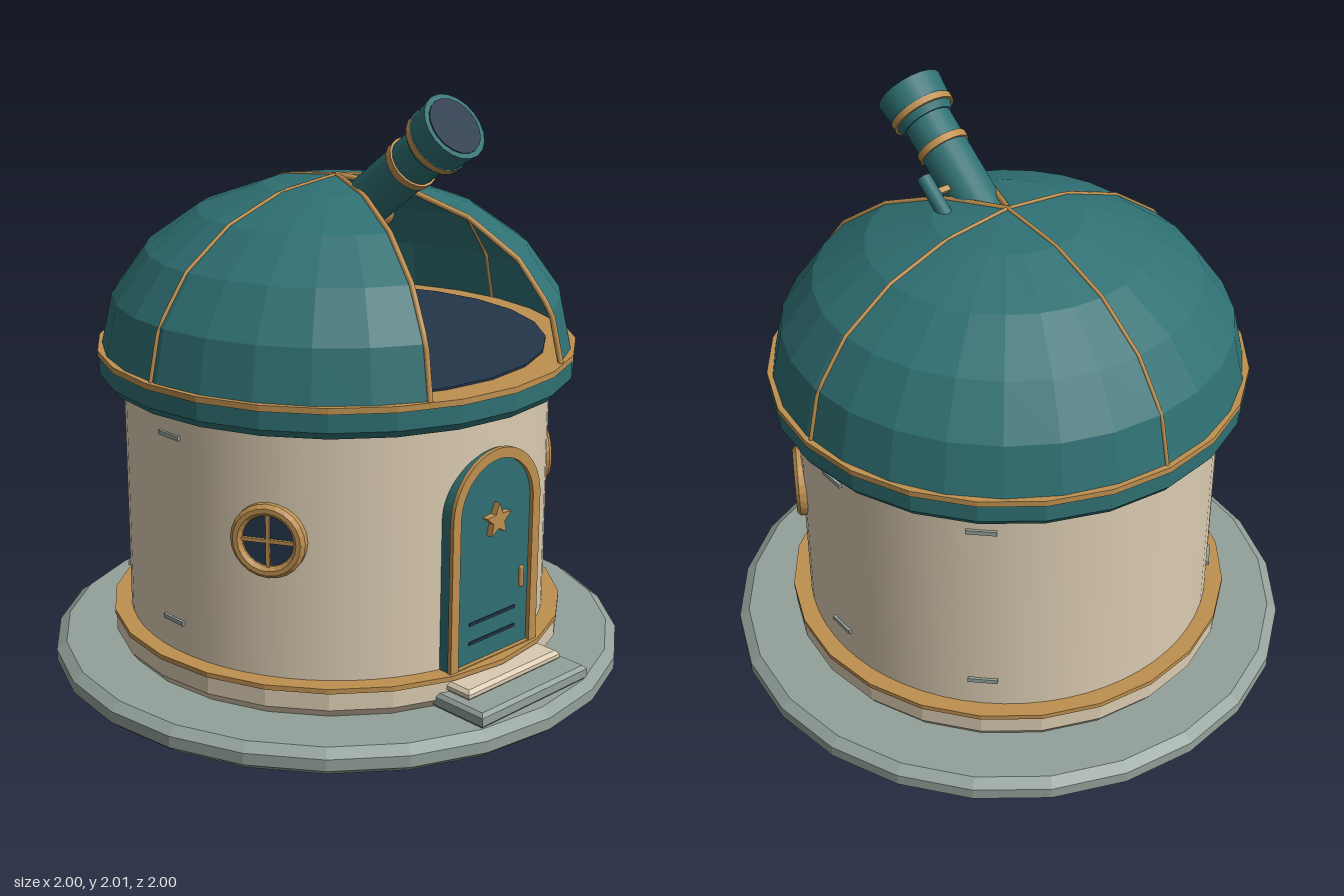
import * as THREE from 'three';

const mat = (name, color, side = THREE.FrontSide) => {
  const m = new THREE.MeshStandardMaterial({ color, side });
  m.name = name;
  return m;
};
const rad = THREE.MathUtils.degToRad;

// faceted look: split every face and recompute its normal
const flat = (g) => {
  const f = g.index ? g.toNonIndexed() : g;
  f.computeVertexNormals();
  return f;
};

export function createModel() {
  const teal = mat('teal', 0x2f7073, THREE.DoubleSide);
  const cream = mat('cream', 0xdbccb2);
  const gold = mat('gold', 0xbe9050);
  const navy = mat('navy', 0x24364a);
  const stone = mat('stone', 0x93a19a);

  const model = new THREE.Group();
  model.name = 'observatory';
  const add = (name, geo, material, pos = [0, 0, 0], parent = model) => {
    const m = new THREE.Mesh(geo, material);
    m.name = name;
    m.position.set(...pos);
    parent.add(m);
    return m;
  };
  const group = (name, parent = model) => {
    const g = new THREE.Group();
    g.name = name;
    parent.add(g);
    return g;
  };
  const lathe = (pts, seg = 24, start = 0, len = Math.PI * 2) =>
    flat(new THREE.LatheGeometry(pts.map((p) => new THREE.Vector2(...p)), seg, start, len));
  const extrude = (shape, depth) =>
    new THREE.ExtrudeGeometry(shape, { depth, bevelEnabled: false, curveSegments: 16 });

  // ground slab, plinth and wall
  add('groundSlab', lathe([[0, 0], [0.97, 0], [1, 0.025], [1, 0.065], [0.965, 0.09], [0, 0.09]]), stone);
  add('plinth', lathe([[0.765, 0.09], [0.787, 0.12], [0.787, 0.18]]), cream);
  add('plinthTrim', lathe([[0.787, 0.178], [0.792, 0.18], [0.792, 0.197], [0.72, 0.197]]), gold);
  add('wall', new THREE.CylinderGeometry(0.73, 0.73, 0.88, 64, 1, true), cream, [0, 0.62, 0]);

  // dome skirt, gold rim and dark floor
  add('domeSkirt', lathe([[0.7, 1.03], [0.795, 1.03], [0.814, 1.055], [0.814, 1.115], [0.79, 1.115]]), teal);
  add('domeRim', lathe([[0.8, 1.113], [0.818, 1.115], [0.818, 1.135], [0.7, 1.135]]), gold);
  add('domeFloor', new THREE.CylinderGeometry(0.715, 0.715, 0.02, 24), navy, [0, 1.132, 0]);

  // dome shell with a wedge-shaped slit at the front
  const R = 0.8, H = 0.565, Y0 = 1.13, slit = rad(22.5);
  const arc = (i, n, off = 0) => {
    const t = (i / n) * Math.PI / 2;
    return [Math.max((R + off) * Math.cos(t), 0.0001), Y0 + (H + off) * Math.sin(t)];
  };
  const domePts = [0, 1, 2, 3, 4, 5].map((i) => arc(i, 5));
  add('dome', lathe(domePts, 24, slit, Math.PI * 2 - slit * 2), teal);

  // seams on the shell and trims along the slit
  const meridian = (a, n, r) => {
    const path = new THREE.CurvePath();
    const pts = [];
    for (let i = 0; i <= n; i++) {
      const [d, y] = arc(i, n);
      pts.push(new THREE.Vector3(d * Math.sin(a), y, d * Math.cos(a)));
    }
    for (let i = 0; i < n; i++) path.add(new THREE.LineCurve3(pts[i], pts[i + 1]));
    return new THREE.TubeGeometry(path, n * 4, r, 6);
  };
  for (const a of [90, 180, 270]) add('domeSeam', meridian(rad(a), 5, 0.007), gold);
  for (const s of [1, -1]) add('slitTrim', meridian(s * slit, 5, 0.01), gold);

  // arched door
  const arch = (w, y0, yc) => {
    const s = new THREE.Shape();
    s.moveTo(-w, y0);
    s.lineTo(w, y0);
    s.lineTo(w, yc);
    s.absarc(0, yc, w, 0, Math.PI, false);
    s.lineTo(-w, y0);
    return s;
  };
  const door = group('door');
  add('doorSlab', extrude(arch(0.203, 0.19, 0.71), 0.09), teal, [0, 0, 0.65], door);
  const frame = arch(0.207, 0.19, 0.71);
  frame.holes.push(arch(0.172, 0.2, 0.71));
  add('doorFrame', extrude(frame, 0.015), gold, [0, 0, 0.74], door);
  const star = new THREE.Shape();
  for (let i = 0; i < 10; i++) {
    const r = i % 2 ? 0.027 : 0.06, a = Math.PI / 2 + i * Math.PI / 5;
    star[i ? 'lineTo' : 'moveTo'](r * Math.cos(a), r * Math.sin(a));
  }
  star.closePath();
  add('doorStar', extrude(star, 0.022), gold, [0, 0.675, 0.74], door);
  add('doorHandle', new THREE.CapsuleGeometry(0.009, 0.06, 4, 8), gold, [0.113, 0.45, 0.763], door);
  for (const y of [0.27, 0.337])
    add('doorSlot', new THREE.BoxGeometry(0.22, 0.01, 0.008), navy, [0, y, 0.741], door);

  // steps: bevelled blocks
  const step = (name, w, y, h, z1, material) => {
    const b = 0.012, s = new THREE.Shape();
    const d = z1 - 0.65;
    s.moveTo(-w + b, 0); s.lineTo(w - b, 0); s.lineTo(w - b, d - b); s.lineTo(-w + b, d - b); s.closePath();
    const g = new THREE.ExtrudeGeometry(s, {
      depth: h - 2 * b, bevelEnabled: true, bevelThickness: b, bevelSize: b, bevelSegments: 1,
    });
    g.rotateX(-Math.PI / 2);
    g.scale(1, 1, 1);
    g.translate(0, y + b, z1 - b);
    add(name, g, material);
  };
  step('lowerStep', 0.257, 0.09, 0.053, 0.94, stone);
  step('upperStep', 0.222, 0.14, 0.037, 0.85, cream);

  // round windows either side of the door
  for (const s of [1, -1]) {
    const w = group('roundWindow');
    w.rotation.y = s * rad(60);
    w.position.y = 0.667;
    const ring = new THREE.Shape().absarc(0, 0, 0.112, 0, Math.PI * 2, false);
    ring.holes.push(new THREE.Path().absarc(0, 0, 0.097, 0, Math.PI * 2, true));
    const rim = new THREE.ExtrudeGeometry(ring, {
      depth: 0.06, bevelEnabled: true, bevelThickness: 0.012, bevelSize: 0.012, bevelSegments: 1, curveSegments: 12,
    });
    add('windowFrame', rim, gold, [0, 0, 0.685], w);
    add('windowGlass', new THREE.CylinderGeometry(0.1, 0.1, 0.05, 24).rotateX(Math.PI / 2), navy, [0, 0, 0.712], w);
    add('windowBar', new THREE.BoxGeometry(0.2, 0.012, 0.014), gold, [0, 0, 0.74], w);
    add('windowBar', new THREE.BoxGeometry(0.012, 0.2, 0.014), gold, [0, 0, 0.74], w);
  }

  // small stones set in the wall
  for (const a of [90, 135, 225, 270])
    for (const y of [0.305, 0.945]) {
      const b = group('wallStone');
      b.rotation.y = rad(a);
      add('stoneBlock', new THREE.BoxGeometry(0.1, 0.015, 0.02), stone, [0, y, 0.728], b);
    }

  // telescope pedestal and fork
  add('pedestal', new THREE.LatheGeometry(
    [[0.11, 1.14], [0.105, 1.16], [0.065, 1.185], [0.048, 1.21], [0.048, 1.37], [0, 1.37]]
      .map((p) => new THREE.Vector2(...p)), 16), gold, [0, 0, 0.05]);
  for (const s of [1, -1])
    add('forkArm', new THREE.CylinderGeometry(0.022, 0.022, 0.25, 12), teal, [s * 0.11, 1.43, 0.07]);
  add('forkBase', new THREE.BoxGeometry(0.24, 0.03, 0.05), teal, [0, 1.325, 0.05]);
  add('trunnion', new THREE.CylinderGeometry(0.055, 0.055, 0.3, 16).rotateZ(Math.PI / 2), gold, [0, 1.565, 0.07]);

  // telescope: built along its own axis, then tilted up to the front
  const scope = group('telescope');
  scope.position.set(0, 1.565, 0.07);
  scope.rotation.x = rad(53);
  const tube = (name, r0, r1, s0, s1, material, x = 0, z = 0) =>
    add(name, new THREE.CylinderGeometry(r1, r0, s1 - s0, 20), material, [x, (s0 + s1) / 2, z], scope);
  tube('eyepiece', 0.036, 0.045, -0.27, -0.08, teal);
  tube('eyepieceRing', 0.058, 0.058, -0.18, -0.15, gold);
  tube('rearTaper', 0.05, 0.083, -0.11, -0.03, teal);
  tube('barrel', 0.083, 0.083, -0.03, 0.46, teal);
  tube('barrelRing', 0.091, 0.091, 0.335, 0.36, gold);
  tube('bell', 0.09, 0.113, 0.45, 0.5, teal);
  tube('bellRing', 0.112, 0.112, 0.475, 0.497, gold);
  tube('hood', 0.108, 0.116, 0.49, 0.58, teal);
  tube('lens', 0.098, 0.098, 0.57, 0.584, navy);

  // finder scope on the side of the barrel
  tube('finder', 0.025, 0.025, 0.05, 0.26, teal, 0.145, -0.03);
  for (const s of [0.09, 0.2])
    add('finderBracket', new THREE.BoxGeometry(0.08, 0.02, 0.02), gold, [0.1, s, -0.02], scope);

  return model;
}
